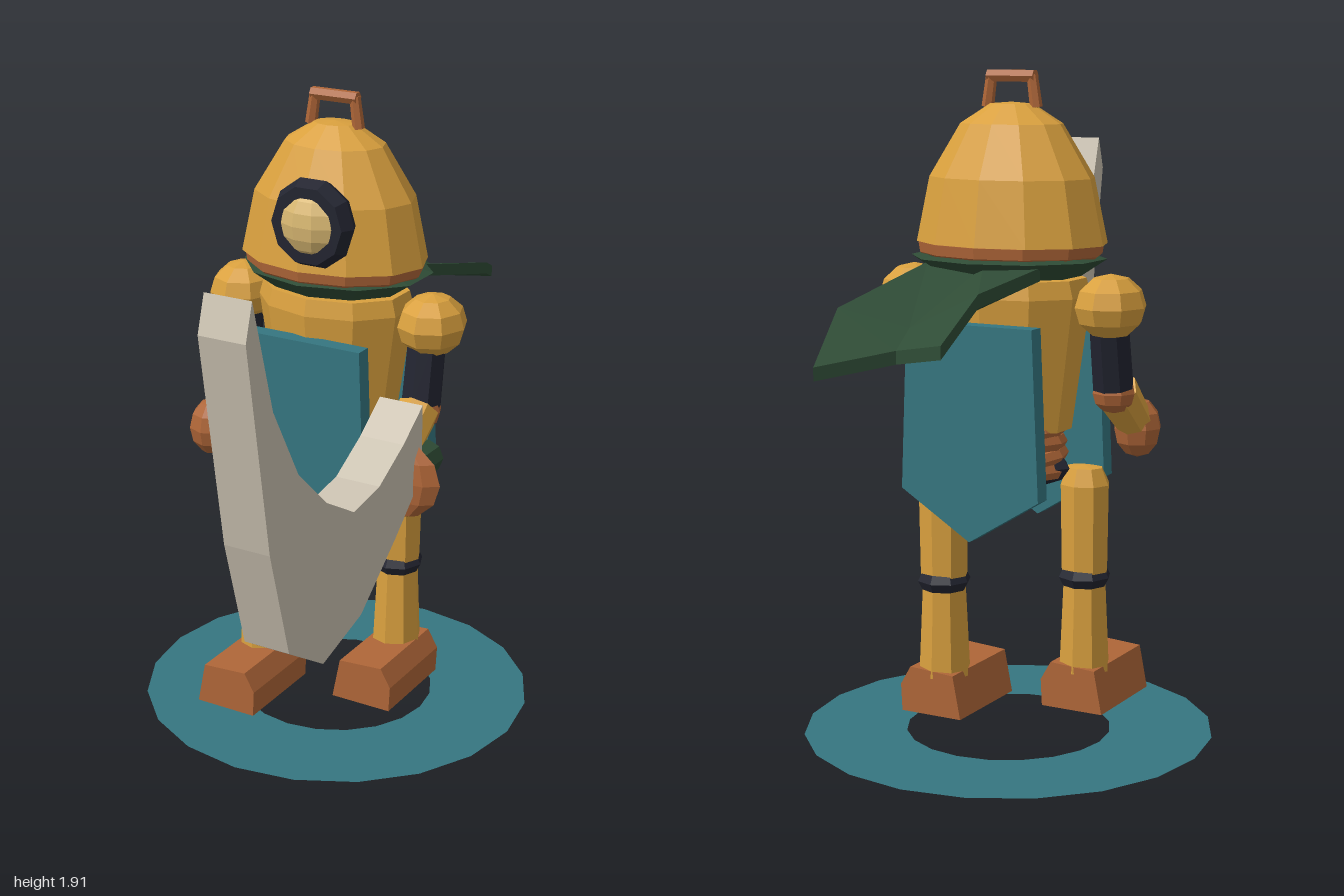
import * as THREE from 'three';

const mat = (name, color, side = THREE.FrontSide) => {
  const m = new THREE.MeshStandardMaterial({ color, flatShading: true, side });
  m.name = name;
  return m;
};

export function createModel() {
  const gold = mat('gold', 0xd9a03e);
  const copper = mat('copper', 0xaf6638);
  const navy = mat('navy', 0x222430);
  const teal = mat('teal', 0x357680, THREE.DoubleSide);
  const green = mat('green', 0x2f4c36, THREE.DoubleSide);
  const steel = mat('pale blade', 0xcbc2b1);
  const glass = mat('glass', 0xd9b872);

  const model = new THREE.Group();
  model.name = 'armouredDiver';
  const add = (name, geo, material, x = 0, y = 0, z = 0, parent = model) => {
    const m = new THREE.Mesh(geo, material);
    m.name = name;
    m.position.set(x, y, z);
    parent.add(m);
    return m;
  };
  const lathe = (pts, sides, depth = 1) =>
    new THREE.LatheGeometry(pts.map(p => new THREE.Vector2(...p)), sides).scale(1, 1, depth);
  const ball = (rx, ry, rz, w = 8, h = 6) => new THREE.SphereGeometry(1, w, h).scale(rx, ry, rz);
  const polygon = pts => new THREE.Shape(pts.map(p => new THREE.Vector2(...p)));
  const extrude = (pts, depth) =>
    new THREE.ExtrudeGeometry(polygon(pts), { depth, bevelEnabled: false }).translate(0, 0, -depth / 2);
  // Tapered cylinder from point a to point b
  const limb = (name, a, b, ra, rb, material, sides = 8) => {
    const p = new THREE.Vector3(...a), q = new THREE.Vector3(...b);
    const d = q.clone().sub(p);
    const m = add(name, new THREE.CylinderGeometry(rb, ra, d.length(), sides), material);
    m.position.copy(p).add(q).multiplyScalar(0.5);
    m.quaternion.setFromUnitVectors(new THREE.Vector3(0, 1, 0), d.normalize());
    return m;
  };

  // Ground ring
  add('groundRing', new THREE.RingGeometry(0.3, 0.6, 20).rotateX(-Math.PI / 2), teal, 0, 0, -0.17);

  // Helmet with rim, handle and porthole
  add('helmetDome', lathe([[0, 1.43], [0.29, 1.43], [0.25, 1.615], [0.155, 1.765], [0.065, 1.82], [0, 1.825]], 12, 0.74),
    gold, 0, 0, -0.145);
  add('helmetRim', lathe([[0, 1.36], [0.235, 1.37], [0.275, 1.4], [0.28, 1.43], [0, 1.43]], 12, 0.77), copper, 0, 0, -0.15);
  for (const s of [-1, 1])
    limb('handlePost', [s * 0.078, 1.81, -0.143], [s * 0.065, 1.9, -0.143], 0.018, 0.016, copper, 6);
  limb('handleBar', [-0.075, 1.897, -0.143], [0.075, 1.897, -0.143], 0.019, 0.019, copper, 6);
  add('portholeFrame', new THREE.TorusGeometry(0.095, 0.038, 6, 10).scale(1, 1, 1.2), navy, 0.05, 1.58, 0.062);
  add('portholeGlass', ball(0.1, 0.1, 0.065, 10, 8), glass, 0.05, 1.58, 0.065);

  // Scarf collar
  add('scarfCollar', lathe([[0.15, 1.345], [0.215, 1.34], [0.292, 1.39], [0.26, 1.398], [0.2, 1.385]], 10, 0.81),
    green, 0, 0, -0.165);

  // Scarf tail: three folded cross-sections, each left, middle, right
  const rows = [
    [[-0.18, 1.38, -0.31], [0, 1.375, -0.31], [0.18, 1.38, -0.31]],
    [[-0.21, 1.352, -0.7], [0, 1.25, -0.7], [0.225, 1.29, -0.7]],
    [[-0.235, 1.25, -0.93], [-0.04, 1.21, -0.83], [0.1, 1.18, -1]],
  ];
  const pos = [], idx = [];
  for (const row of rows) {
    const under = row.map(([x, y, z]) => [x, y - 0.036, z]).reverse();
    [...row, ...under].forEach(p => pos.push(...p));
  }
  for (let r = 0; r < 2; r++)
    for (let i = 0; i < 6; i++) {
      const a = r * 6 + i, b = r * 6 + (i + 1) % 6;
      idx.push(a, b, a + 6, b, b + 6, a + 6);
    }
  for (const o of [0, 12])
    for (const f of [[0, 1, 4], [0, 4, 5], [1, 2, 3], [1, 3, 4]])
      idx.push(...(o ? f : [f[0], f[2], f[1]]).map(i => i + o));
  const tail = new THREE.BufferGeometry();
  tail.setAttribute('position', new THREE.Float32BufferAttribute(pos, 3));
  tail.setIndex(idx);
  tail.computeVertexNormals();
  add('scarfTail', tail, green);

  // Torso, coiled waist and pelvis
  add('torso', lathe([[0, 0.9], [0.185, 0.9], [0.242, 1.285], [0.228, 1.335], [0, 1.335]], 10, 0.76), gold, 0, 0, -0.155);
  for (let i = 0; i < 4; i++)
    add('waistCoil', new THREE.TorusGeometry(0.15, 0.024, 6, 14).rotateX(Math.PI / 2 + (i % 2 ? 0.05 : -0.05)).scale(1, 1, 0.92),
      copper, 0, 0.905 - i * 0.041, -0.16 - (i % 2) * 0.008);
  add('waistCore', new THREE.CylinderGeometry(0.14, 0.14, 0.16, 10), copper, 0, 0.85, -0.16);
  add('pelvis', ball(0.19, 0.07, 0.12), navy, 0, 0.79, -0.15);

  // Front and back tabards
  for (const [name, z] of [['frontTabard', 0.035], ['backTabard', -0.37]])
    add(name, extrude([[-0.2, 1.22], [-0.22, 0.74], [0, 0.605], [0.22, 0.74], [0.2, 1.22]], 0.052), teal, 0, 0, z);

  // Legs in mid stride: the right one leads
  for (const [side, x, z] of [['right', -0.17, -0.015], ['left', 0.17, -0.25]]) {
    const leg = new THREE.Group();
    leg.name = side + 'Leg';
    leg.position.set(x, 0, z);
    model.add(leg);
    add('thigh', lathe([[0, 0.44], [0.072, 0.46], [0.076, 0.72], [0.055, 0.77], [0, 0.775]], 8, 0.92), gold, 0, 0, 0, leg);
    add('knee', lathe([[0, 0.395], [0.055, 0.397], [0.079, 0.443], [0.055, 0.49], [0, 0.492]], 8), navy, 0, 0, 0, leg);
    add('shin', lathe([[0, 0.16], [0.077, 0.16], [0.064, 0.44], [0, 0.44]], 8), gold, 0, 0, 0, leg);
    add('boot', extrude([[-0.095, 0.05], [0.102, 0.05], [0.106, 0.13], [0.073, 0.187], [-0.07, 0.178]], 0.31),
      copper, 0, 0, 0.08, leg);
  }

  // Arms
  for (const [side, s] of [['right', -1], ['left', 1]]) {
    const x = s * 0.31;
    add(side + 'Shoulder', ball(0.102, 0.092, 0.112, 8, 6), gold, s * 0.32, 1.265, -0.155);
    limb(side + 'UpperArm', [x, 1.22, -0.145], [x, 1.03, -0.115], 0.058, 0.06, navy);
    add(side + 'Elbow', ball(0.064, 0.06, 0.064), copper, x, 1.015, -0.11);
    limb(side + 'Forearm', [x, 1.02, -0.1], [x, 0.91, 0.025], 0.064, 0.054, gold);
    add(side + 'Hand', ball(0.072, 0.088, 0.07), copper, x, 0.89, 0.045);
  }

  // Curved sword: grip, guard and thick blade
  limb('swordGrip', [0.36, 0.895, -0.07], [0.36, 0.895, 0.1], 0.05, 0.05, green);
  add('swordGuard', ball(0.138, 0.122, 0.04, 8, 6), copper, 0.353, 0.89, 0.108);
  const blade = extrude([
    [0.09, 0.9], [0.15, 0.845], [0.24, 0.765], [0.43, 0.613], [0.635, 0.555], [0.81, 0.665], [0.9, 0.98], [1, 1.57],
    [0.97, 1.67], [0.88, 1.36], [0.76, 1.15], [0.62, 1.02], [0.475, 0.938], [0.335, 0.96], [0.2, 1.035], [0.09, 1.115],
  ], 0.136);
  add('swordBlade', blade.rotateY(-Math.PI / 2), steel, 0.354);

  return model;
}
